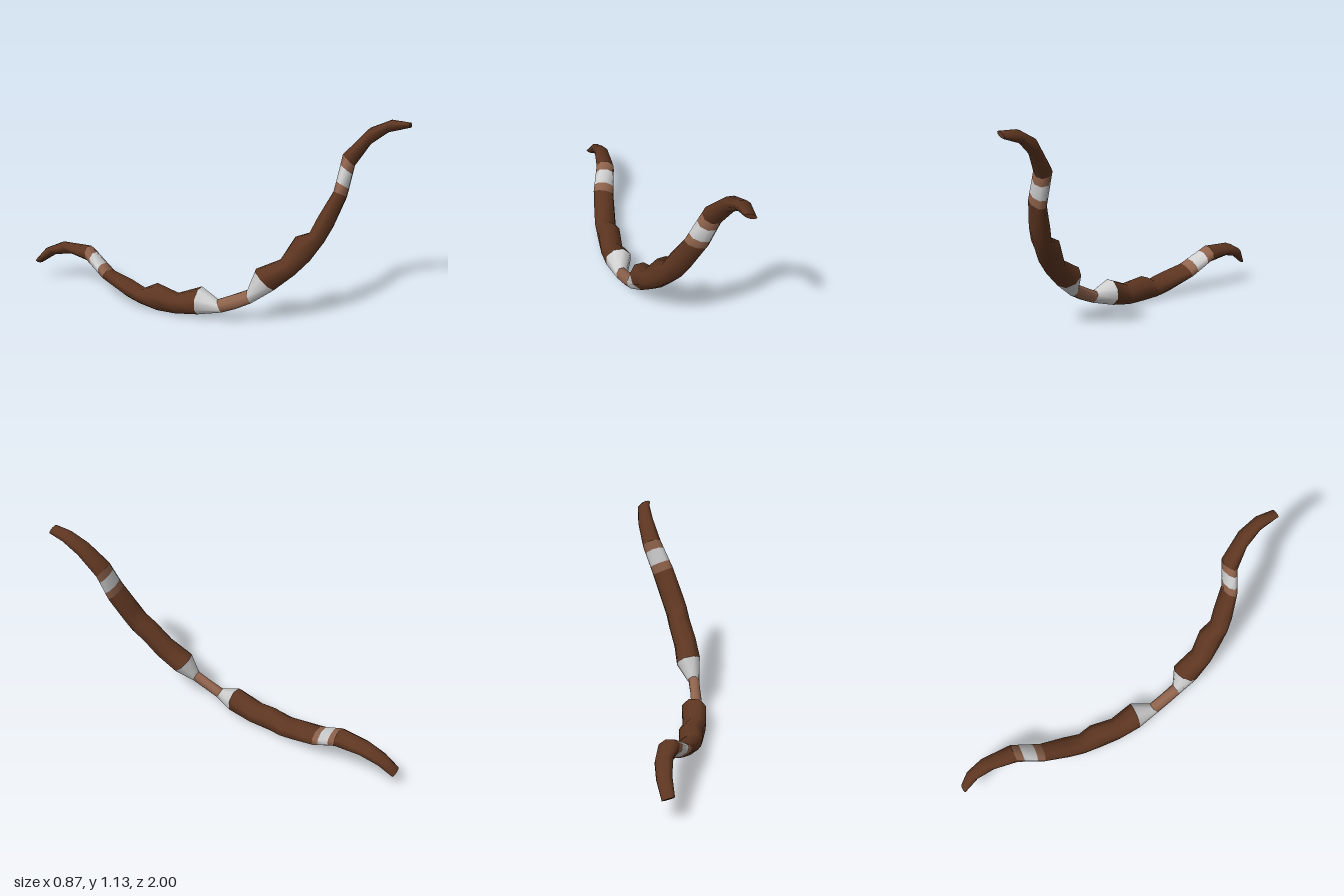
import * as THREE from 'three';

// Bow frame: U runs tip to tip, V points towards the bow's back, N is its width direction
const ORIGIN = new THREE.Vector3(-0.005, 0.625, 0);
const U = new THREE.Vector3(0.342, 0.42, 0.84);
const V = new THREE.Vector3(-0.27, -0.839, 0.503);
const N = new THREE.Vector3().crossVectors(U, V).normalize();
const SIDES = 8;

// Cross-sections of one half: [outer s, outer d, inner s, inner d, half width]
const gripEnd = [0.09, 0.626, 0.092, 0.551, 0.034];
const cuffEnd = [0.235, 0.596, 0.168, 0.457, 0.076];
const bandStart = [0.757, 0.246, 0.703, 0.2, 0.068];
const bandEnd = [0.843, 0.108, 0.805, 0.026, 0.06];
const mix = (a, b, t) => a.map((v, i) => v + (b[i] - v) * t);
const band1 = mix(bandStart, bandEnd, 0.27);
const band2 = mix(bandStart, bandEnd, 0.73);
const limb = [
  cuffEnd,
  [0.37, 0.553, 0.318, 0.45, 0.072],
  [0.475, 0.505, 0.432, 0.36, 0.07],
  [0.57, 0.44, 0.517, 0.363, 0.07],
  [0.64, 0.38, 0.585, 0.296, 0.07],
  bandStart,
];
const tip = [
  bandEnd,
  [0.95, 0.029, 0.982, -0.055, 0.05],
  [1.06, 0, 1.1, -0.055, 0.042],
  [1.177, 0.016, 1.188, -0.006, 0.034],
];

const mirror = ([so, d, si, e, w]) => [-so, d, -si, e, w];
const toWorld = (s, d) => ORIGIN.clone().addScaledVector(U, s).addScaledVector(V, d);

// Skin a list of cross-sections, ordered along +U, with closed ends
function loft(sections) {
  const pos = [], index = [];
  const rings = sections.map(([so, dout, si, din, w]) => {
    const outer = toWorld(so, dout), inner = toWorld(si, din);
    const centre = outer.clone().add(inner).multiplyScalar(0.5);
    const depth = outer.sub(inner).multiplyScalar(0.5);
    return Array.from({ length: SIDES }, (_, k) => {
      const a = (k / SIDES) * Math.PI * 2;
      return centre.clone().addScaledVector(depth, Math.cos(a)).addScaledVector(N, w * Math.sin(a));
    });
  });
  rings.forEach((ring) => ring.forEach((p) => pos.push(p.x, p.y, p.z)));
  for (let i = 0; i < rings.length - 1; i++) {
    for (let k = 0; k < SIDES; k++) {
      const a = i * SIDES + k, b = i * SIDES + ((k + 1) % SIDES);
      index.push(a, b, b + SIDES, a, b + SIDES, a + SIDES);
    }
  }
  // End caps use their own vertices so the rims stay sharp
  [rings[0], rings[rings.length - 1]].forEach((ring, end) => {
    const base = pos.length / 3;
    ring.forEach((p) => pos.push(p.x, p.y, p.z));
    for (let k = 1; k < SIDES - 1; k++) {
      if (end) index.push(base, base + k, base + k + 1);
      else index.push(base, base + k + 1, base + k);
    }
  });
  const g = new THREE.BufferGeometry();
  g.setAttribute('position', new THREE.Float32BufferAttribute(pos, 3));
  g.setIndex(index);
  g.computeVertexNormals();
  return g;
}

export function createModel() {
  const group = new THREE.Group();
  group.name = 'bow';
  const material = (name, color) => {
    const m = new THREE.MeshStandardMaterial({ color });
    m.name = name;
    return m;
  };
  const wood = material('dark wood', 0x5e3621);
  const leather = material('tan leather', 0x90644d);
  const wrap = material('white wrap', 0xd0d0d0);

  const add = (name, sections, mat) => {
    const mesh = new THREE.Mesh(loft(sections), mat);
    mesh.name = name;
    group.add(mesh);
  };

  add('grip', [mirror(gripEnd), [0, 0.63, 0, 0.552, 0.032], gripEnd], leather);

  // Each half of the bow, from the grip outwards
  const parts = [
    ['Cuff', [gripEnd, cuffEnd], wrap],
    ['Limb', limb, wood],
    ['InnerBand', [bandStart, band1], leather],
    ['WhiteBand', [band1, band2], wrap],
    ['OuterBand', [band2, bandEnd], leather],
    ['Tip', tip, wood],
  ];
  for (const [name, sections, mat] of parts) {
    add('upper' + name, sections, mat);
    add('lower' + name, sections.map(mirror).reverse(), mat);
  }
  return group;
}
